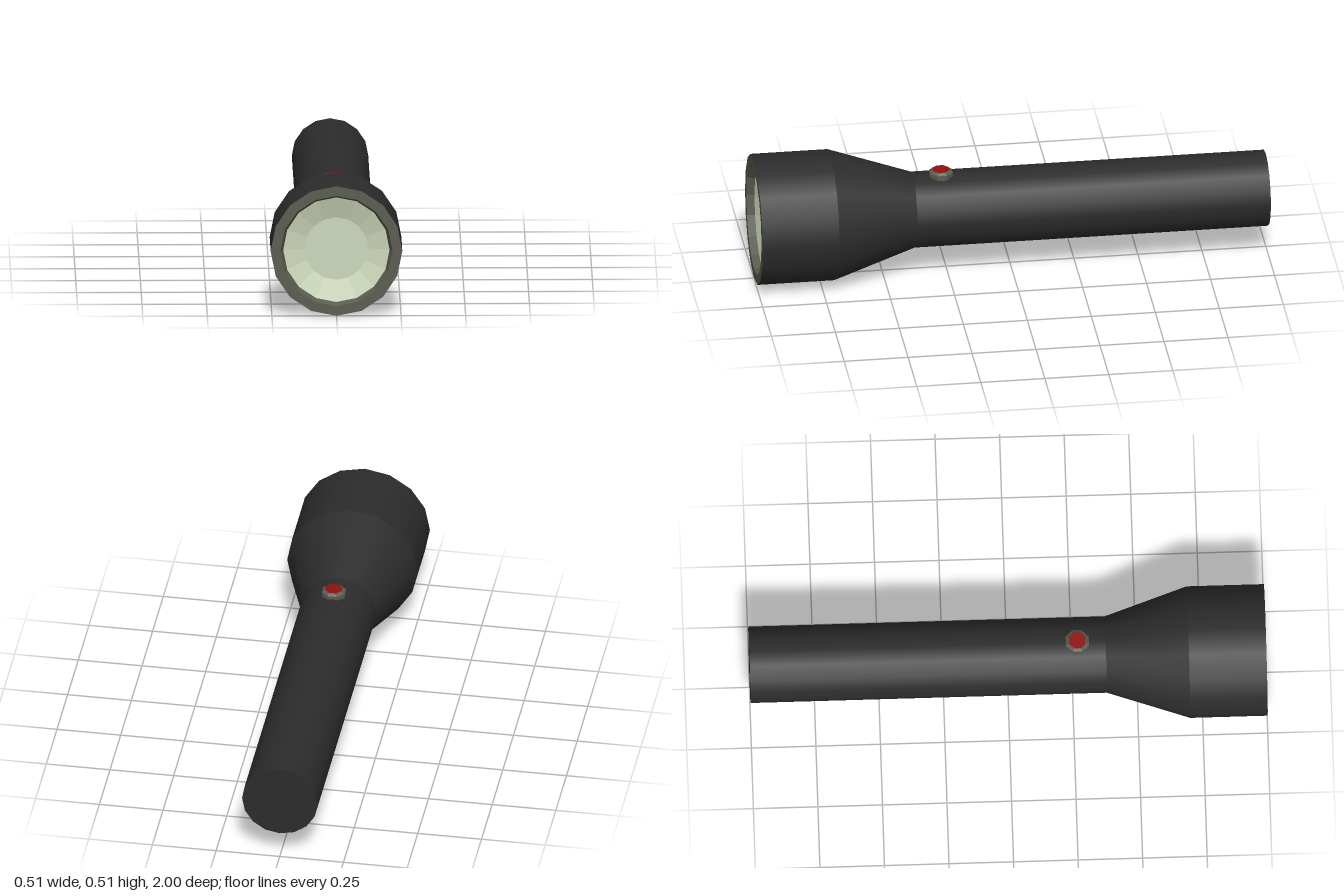
import * as THREE from 'three';

const SIDES = 16;
const AXIS_Y = 0.256;

export function createModel() {
  const model = new THREE.Group();
  model.name = 'flashlight';

  const black = new THREE.MeshStandardMaterial({ color: 0x2c2c2c });
  black.name = 'black casing';
  const grey = new THREE.MeshStandardMaterial({ color: 0x5a5d50, flatShading: true, side: THREE.DoubleSide });
  grey.name = 'olive grey trim';
  const pale = new THREE.MeshStandardMaterial({ color: 0xcdd8bb, flatShading: true, side: THREE.DoubleSide });
  pale.name = 'pale green reflector';
  const red = new THREE.MeshStandardMaterial({ color: 0x901010 });
  red.name = 'red switch';

  const add = (name, geometry, material, y, z) => {
    const mesh = new THREE.Mesh(geometry, material);
    mesh.name = name;
    mesh.position.set(0, y, z);
    model.add(mesh);
    return mesh;
  };

  // Open tube section along z, from the back radius to the front radius
  const section = (name, material, backR, frontR, backZ, frontZ) => {
    const geometry = new THREE.CylinderGeometry(frontR, backR, frontZ - backZ, SIDES, 1, true);
    geometry.rotateX(Math.PI / 2);
    return add(name, geometry, material, AXIS_Y, (backZ + frontZ) / 2);
  };

  // Casing
  section('handle', black, 0.148, 0.148, -1, 0.38);
  section('neck', black, 0.148, 0.255, 0.38, 0.7);
  section('head', black, 0.255, 0.255, 0.7, 1);
  add('tailCap', new THREE.CircleGeometry(0.148, SIDES).rotateY(Math.PI), black, AXIS_Y, -1);

  // Front rim and the recessed reflector
  add('frontRim', new THREE.RingGeometry(0.217, 0.255, SIDES), grey, AXIS_Y, 1);
  section('rimInnerWall', grey, 0.206, 0.217, 0.97, 1);
  section('reflector', pale, 0.123, 0.206, 0.945, 0.97);
  add('reflectorCentre', new THREE.CircleGeometry(0.123, SIDES), pale, AXIS_Y, 0.945);

  // Push button on top of the handle
  const turn = Math.PI / 8;
  add('switchBase', new THREE.CylinderGeometry(0.048, 0.048, 0.03, 8).rotateY(turn), grey, 0.4, 0.27);
  add('switchCollar', new THREE.CylinderGeometry(0.036, 0.046, 0.008, 8).rotateY(turn), grey, 0.419, 0.27);
  add('switchButton', new THREE.CircleGeometry(0.035, 8).rotateX(-Math.PI / 2).rotateY(turn), red, 0.4245, 0.27);

  return model;
}
